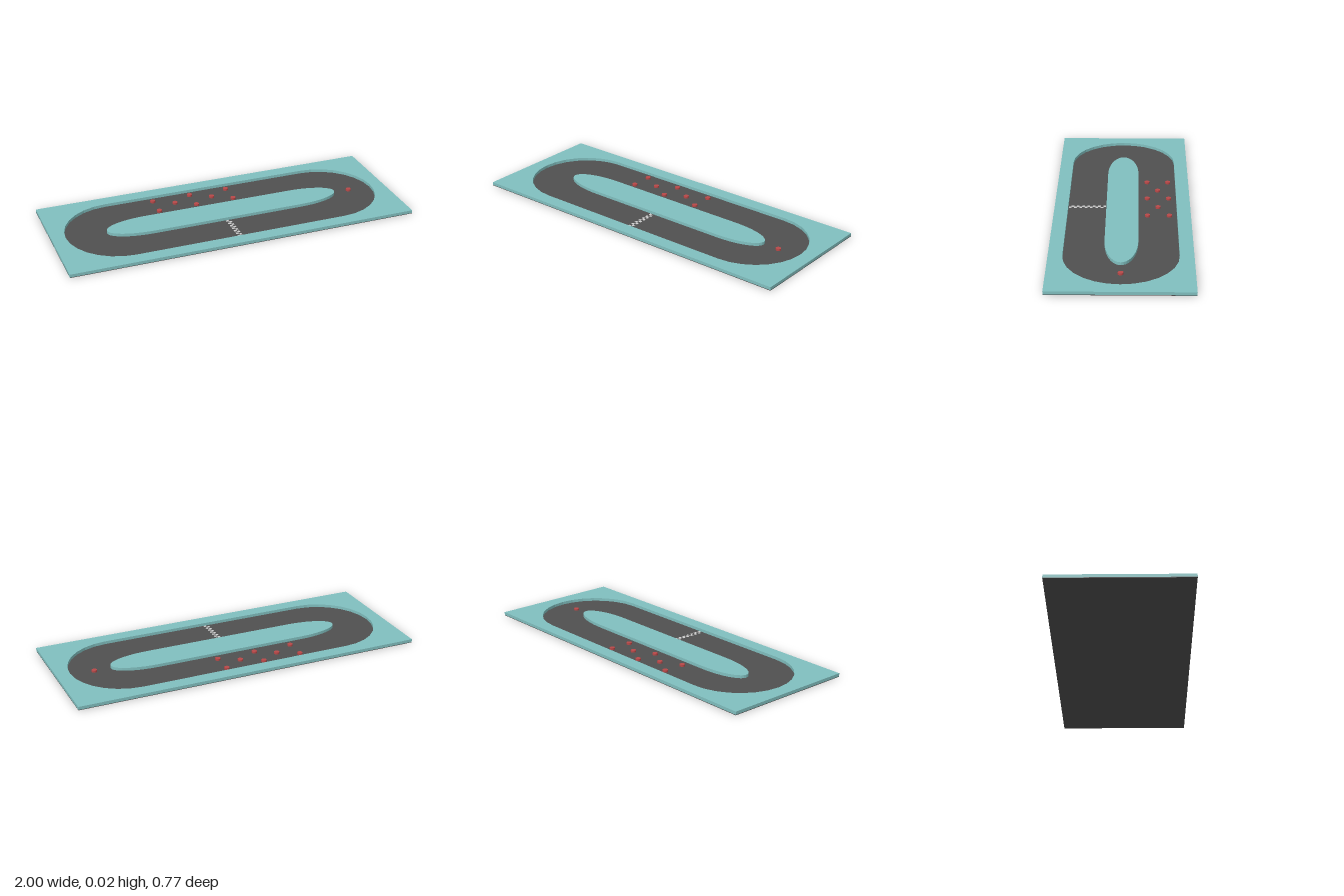
import * as THREE from 'three';

const BASE_H = 0.003, TOP = 0.02;
const paint = (color) => new THREE.MeshStandardMaterial({ color });

// Long loop: straight sides closed by half ellipses at both ends
function loop(path, tipX, halfZ, radiusX, steps) {
  const pts = [];
  for (const side of [1, -1]) {
    for (let i = 0; i <= steps; i++) {
      const a = -Math.PI / 2 + (Math.PI * i) / steps;
      pts.push(new THREE.Vector2(
        side * (tipX - radiusX + radiusX * Math.cos(a)),
        side * halfZ * Math.sin(a)));
    }
  }
  return path.setFromPoints(pts);
}

// Flat slab lying on the base plate
function slab(shape) {
  const g = new THREE.ExtrudeGeometry(shape, { depth: TOP - BASE_H, bevelEnabled: false });
  g.rotateX(-Math.PI / 2);
  g.translate(0, BASE_H, 0);
  return g;
}

export function createModel() {
  const group = new THREE.Group();
  const add = (parent, name, geometry, material, x = 0, y = 0, z = 0) => {
    const m = new THREE.Mesh(geometry, material);
    m.name = name;
    m.position.set(x, y, z);
    parent.add(m);
    return m;
  };
  const teal = paint(0x80bfbf), dark = paint(0x505050);
  const red = paint(0xb84848), white = paint(0xdddddd);

  // Dark base plate, visible as the road surface
  add(group, 'roadBase', new THREE.BoxGeometry(2, BASE_H, 0.77), dark, 0, BASE_H / 2);

  // Raised surround with the track cut out
  const outer = new THREE.Shape([[-1, -0.385], [1, -0.385], [1, 0.385], [-1, 0.385]]
    .map(([x, y]) => new THREE.Vector2(x, y)));
  outer.holes.push(loop(new THREE.Path(), 0.923, 0.308, 0.31, 14));
  add(group, 'surround', slab(outer), teal);

  // Raised island inside the track
  add(group, 'infield', slab(loop(new THREE.Shape(), 0.69, 0.091, 0.25, 20)), teal);

  // Checkered finish line across the front straight
  const line = new THREE.Group();
  line.name = 'finishLine';
  const rows = 14, w = 0.015, d = 0.212 / rows;
  const tile = new THREE.BoxGeometry(w, 0.001, d);
  for (let r = 0; r < rows; r++) {
    add(line, 'finishTile', tile, white, -0.0175 + (r % 2) * w, BASE_H + 0.0005, 0.094 + (r + 0.5) * d);
  }
  group.add(line);

  // Round obstacle pegs on the road
  const pegs = new THREE.Group();
  pegs.name = 'pegs';
  const pegH = 0.011;
  const peg = new THREE.CylinderGeometry(0.015, 0.015, pegH, 16);
  const spots = [[-0.225, -0.203], [0, -0.203], [0.785, 0]];
  for (const x of [-0.34, -0.115, 0.11]) spots.push([x, -0.265], [x, -0.142]);
  for (const [x, z] of spots) add(pegs, 'peg', peg, red, x, BASE_H + pegH / 2, z);
  group.add(pegs);

  return group;
}
